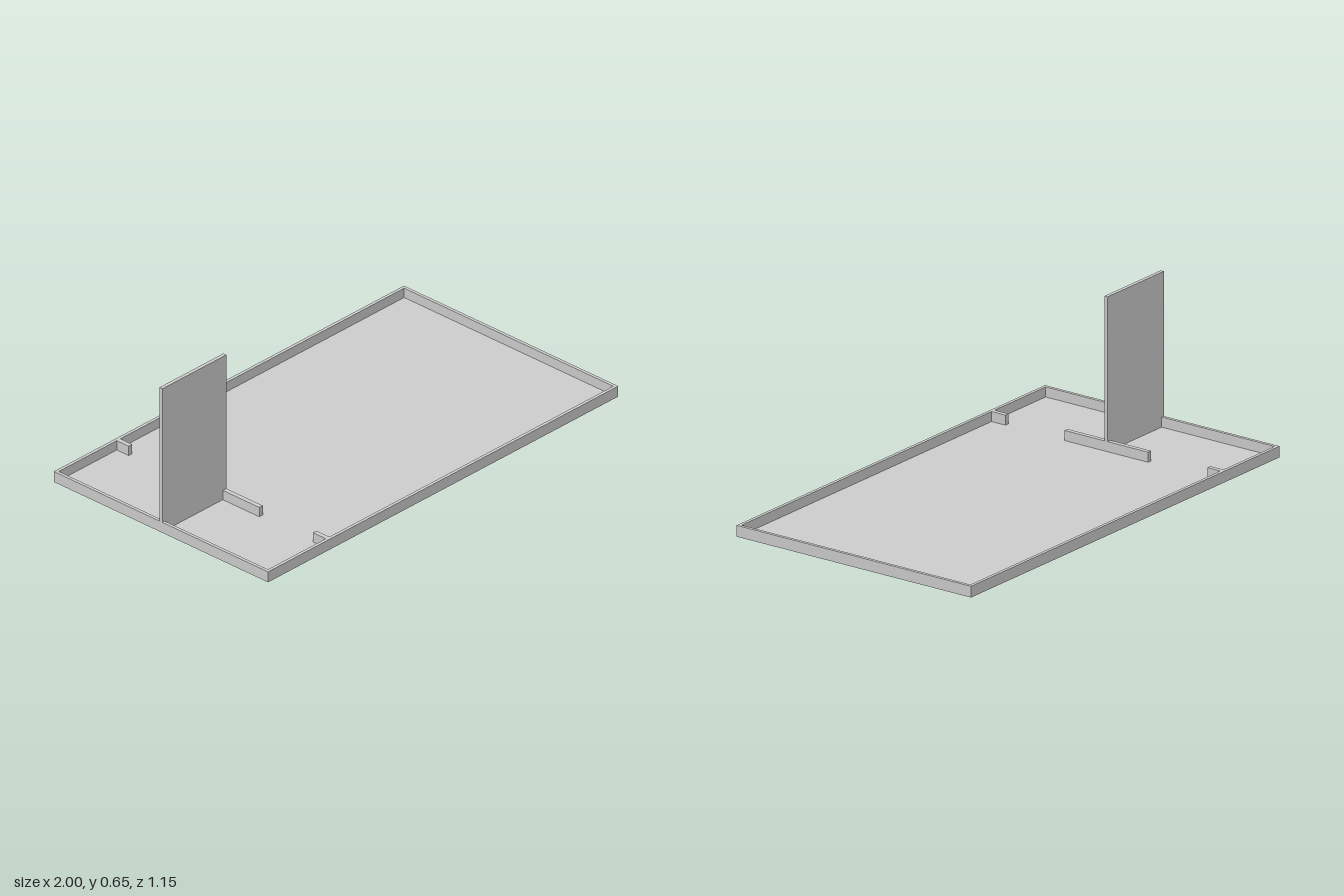
import * as THREE from 'three';

const LENGTH = 2, DEPTH = 1.15, RIM = 0.047, FLOOR = 0.005, WALL = 0.014;

export function createModel() {
  const group = new THREE.Group();
  const material = new THREE.MeshStandardMaterial({ color: 0xcccccc });

  // Box given by its min and max corners
  const box = (name, [x0, y0, z0], [x1, y1, z1]) => {
    const mesh = new THREE.Mesh(new THREE.BoxGeometry(x1 - x0, y1 - y0, z1 - z0), material);
    mesh.position.set((x0 + x1) / 2, (y0 + y1) / 2, (z0 + z1) / 2);
    mesh.name = name;
    group.add(mesh);
  };

  const hx = LENGTH / 2, hz = DEPTH / 2;

  // Thin base slab
  box('floor', [-hx, 0, -hz], [hx, FLOOR, hz]);

  // Low rim: a rectangular frame extruded upwards
  const frame = new THREE.Shape([[-hx, -hz], [hx, -hz], [hx, hz], [-hx, hz]].map(p => new THREE.Vector2(...p)));
  const ix = hx - WALL, iz = hz - WALL;
  frame.holes.push(new THREE.Path([[-ix, -iz], [-ix, iz], [ix, iz], [ix, -iz]].map(p => new THREE.Vector2(...p))));
  const rimGeometry = new THREE.ExtrudeGeometry(frame, { depth: RIM - FLOOR, bevelEnabled: false });
  rimGeometry.rotateX(-Math.PI / 2);
  const rim = new THREE.Mesh(rimGeometry, material);
  rim.position.y = FLOOR;
  rim.name = 'rimWall';
  group.add(rim);

  // Cross partition with two door gaps
  const px0 = -0.655, px1 = -0.635;
  box('centrePartition', [px0, FLOOR, -0.207], [px1, RIM, 0.204]);
  box('backPartitionStub', [px0, FLOOR, -iz], [px1, RIM, -0.497]);
  box('frontPartitionStub', [px0, FLOOR, iz], [px1, RIM, 0.492].map((v, i) => v));

  // Tall dividing panel
  box('tallPanel', [-hx, FLOOR, -0.008], [px1, 0.65, 0.008]);

  // Keep box corner order valid for the front stub
  const stub = group.getObjectByName('frontPartitionStub');
  stub.geometry = new THREE.BoxGeometry(px1 - px0, RIM - FLOOR, iz - 0.492);

  return group;
}
